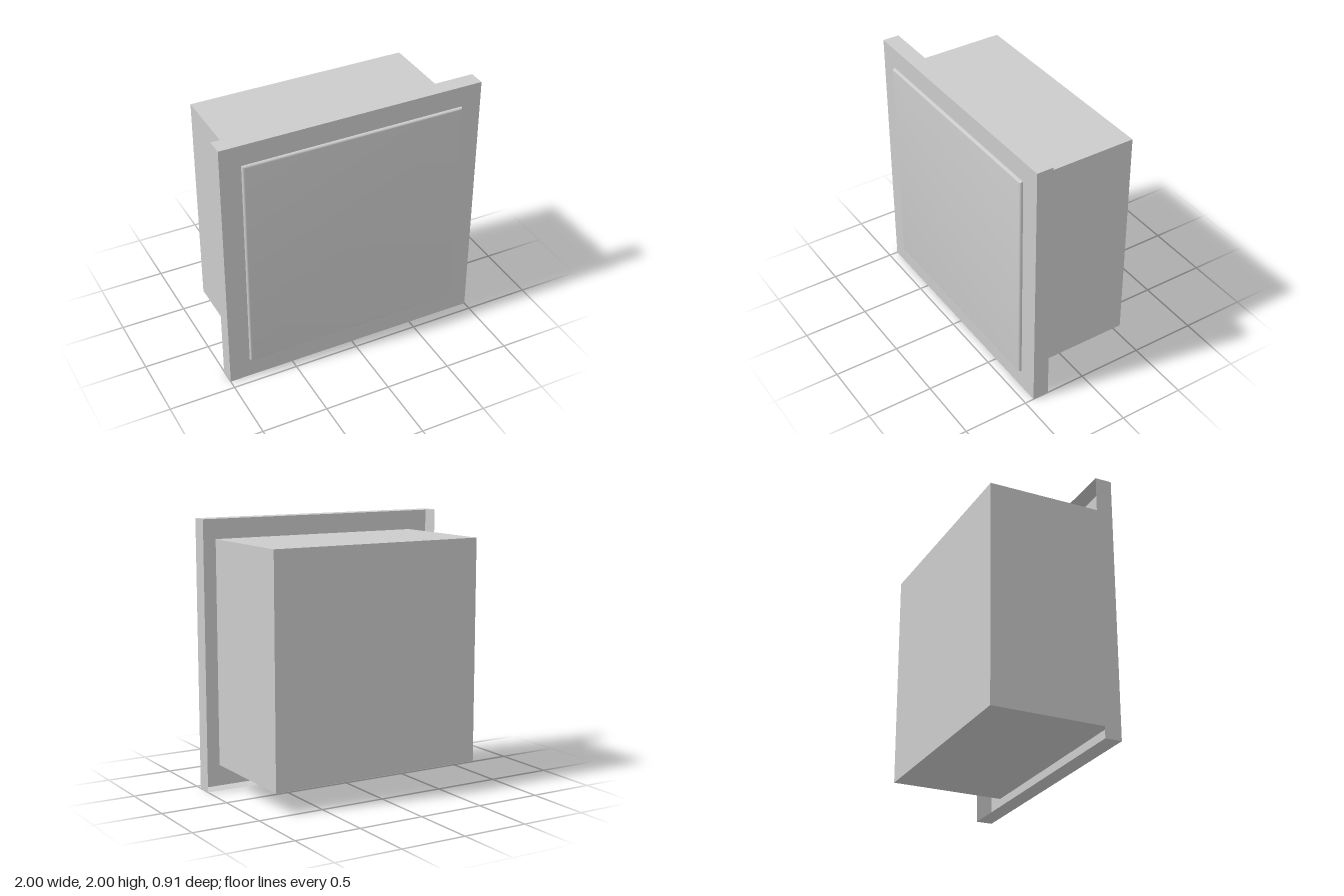
import * as THREE from 'three';
import { toCreasedNormals } from 'three/addons/utils/BufferGeometryUtils.js';

// Square loft along z: profile is a list of [half width, z], running back to front
function squareLoft(name, profile, side = THREE.FrontSide) {
  const points = profile.map(([half, z]) => new THREE.Vector2(half * Math.SQRT2, z));
  const lathe = new THREE.LatheGeometry(points, 4, Math.PI / 4);
  lathe.rotateX(Math.PI / 2);
  lathe.translate(0, 1, 0);
  const material = new THREE.MeshStandardMaterial({ color: 0xcccccc, side });
  const mesh = new THREE.Mesh(toCreasedNormals(lathe, 0.5), material);
  mesh.name = name;
  return mesh;
}

export function createModel() {
  const group = new THREE.Group();
  group.name = 'flushMountedBox';

  const half = 0.843, back = -0.454, front = 0.454;
  const flangeBack = 0.306, flangeFront = 0.431, radius = 0.015;

  // Deep housing behind the flange
  group.add(squareLoft('housing', [[0, back], [half, back], [half, flangeFront]]));

  // Thin flange, open at the back
  group.add(squareLoft('flange',
    [[1, flangeBack], [1, flangeFront], [half, flangeFront]], THREE.DoubleSide));

  // Raised front panel with rounded front edges
  const panel = [[half, flangeFront]];
  const steps = 4;
  for (let i = 0; i <= steps; i++) {
    const a = (i / steps) * Math.PI / 2;
    panel.push([half - radius * (1 - Math.cos(a)), front - radius * (1 - Math.sin(a))]);
  }
  panel.push([0, front]);
  group.add(squareLoft('frontPanel', panel));

  return group;
}
